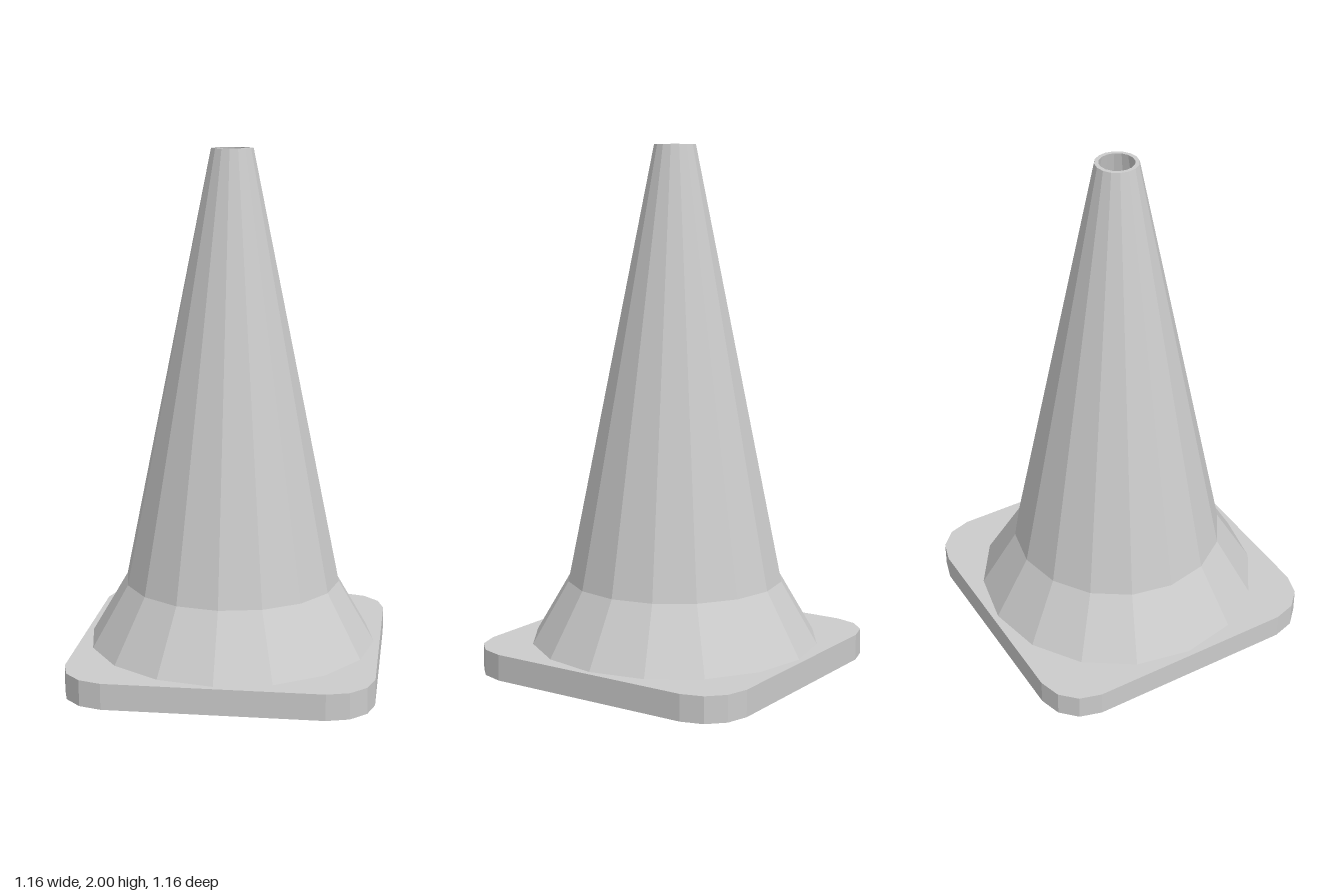
import * as THREE from 'three';

const BASE_HEIGHT = 0.1;

export function createModel() {
  const group = new THREE.Group();
  group.name = 'trafficCone';
  const material = new THREE.MeshStandardMaterial({ color: 0xcccccc, flatShading: true });

  // Square base plate with faceted round corners and a twelve-sided opening
  const corner = [[0.58, 0.41], [0.555, 0.495], [0.495, 0.555], [0.41, 0.58]];
  const outline = [];
  for (let i = 0; i < 4; i++) {
    for (const [x, y] of corner) {
      outline.push(new THREE.Vector2(x, y).rotateAround(new THREE.Vector2(), i * Math.PI / 2));
    }
  }
  const opening = [];
  for (let i = 0; i < 12; i++) {
    const a = -i * Math.PI / 6;
    opening.push(new THREE.Vector2(0.47 * Math.cos(a), 0.47 * Math.sin(a)));
  }
  const plate = new THREE.Shape(outline);
  plate.holes.push(new THREE.Path(opening));
  const baseGeometry = new THREE.ExtrudeGeometry(plate, { depth: BASE_HEIGHT, bevelEnabled: false });
  baseGeometry.rotateX(-Math.PI / 2);
  const base = new THREE.Mesh(baseGeometry, material);
  base.name = 'basePlate';
  group.add(base);

  // Hollow sixteen-sided body: flared skirt, tapering wall, open rim, inner wall
  const profile = [
    [0.557, BASE_HEIGHT], [0.417, 0.34], [0.08, 2],
    [0.065, 2], [0.4, 0.34], [0.54, BASE_HEIGHT],
  ].map(([r, y]) => new THREE.Vector2(r, y));
  const body = new THREE.Mesh(new THREE.LatheGeometry(profile, 16), material);
  body.name = 'coneBody';
  group.add(body);

  return group;
}
